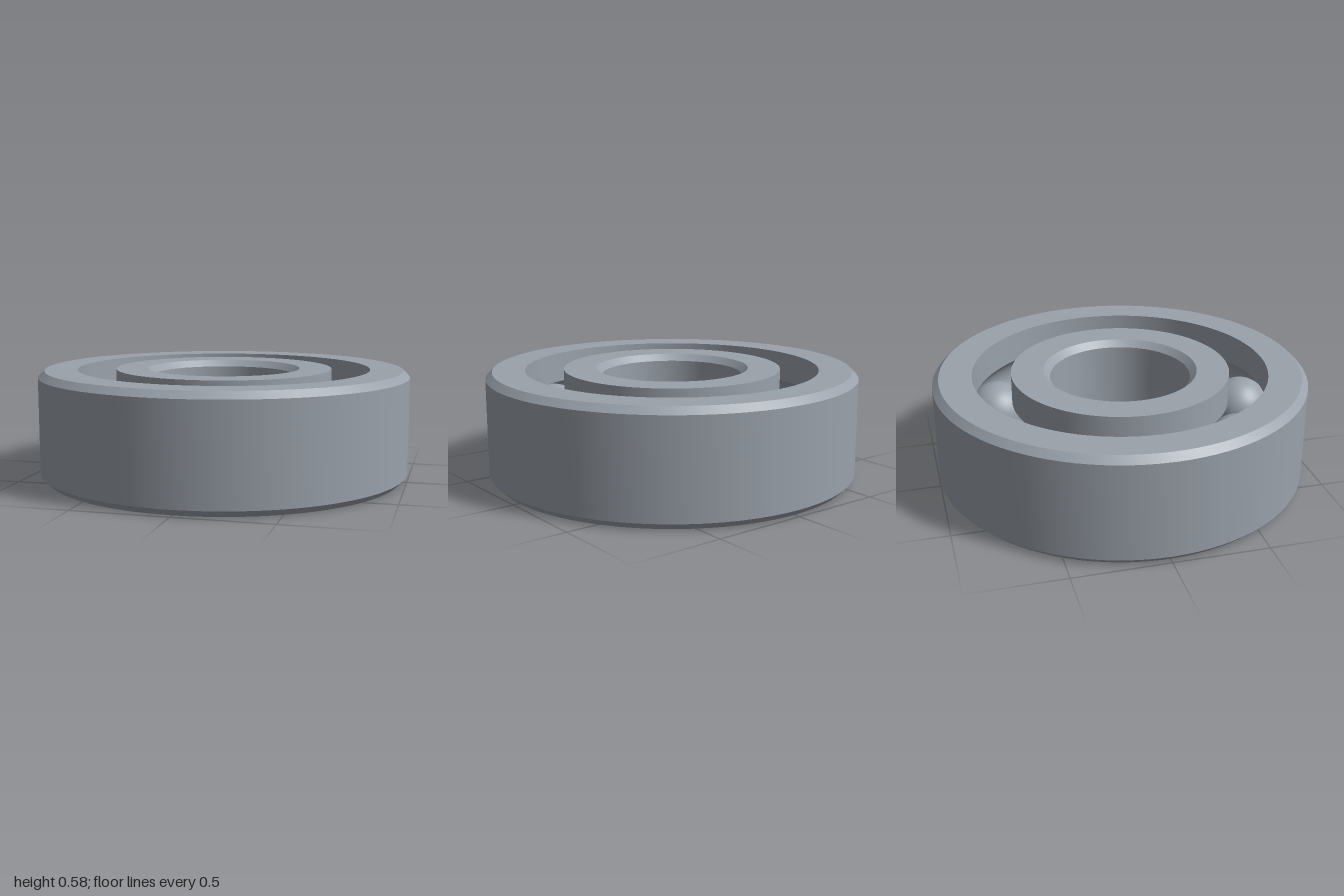
import * as THREE from 'three';
import { toCreasedNormals } from 'three/addons/utils/BufferGeometryUtils.js';

const HEIGHT = 0.585, MID = HEIGHT / 2, CHAMFER = 0.035;
const PITCH = 0.686, BALL_R = 0.161, GROOVE_R = 0.163, BALLS = 9;

// Points of the ball groove cut into a cylinder of radius r, listed upwards.
function groove(r) {
  const dx = r - PITCH, half = Math.asin(Math.sqrt(1 - (dx / GROOVE_R) ** 2));
  const points = [];
  for (let i = 0; i <= 16; i++) {
    const a = -half + (2 * half * i) / 16;
    points.push(new THREE.Vector2(PITCH + Math.sign(dx) * GROOVE_R * Math.cos(a), MID + GROOVE_R * Math.sin(a)));
  }
  return points;
}

// Spins a closed profile, listed counter-clockwise, into a ring.
function ring(name, profile, material) {
  const geometry = new THREE.LatheGeometry([...profile, profile[0].clone()], 96);
  const mesh = new THREE.Mesh(toCreasedNormals(geometry, 0.4), material);
  mesh.name = name;
  return mesh;
}

export function createModel() {
  const model = new THREE.Group();
  model.name = 'ballBearing';
  const steel = new THREE.MeshStandardMaterial({ color: 0x9aa1aa });
  steel.name = 'steel';
  const v = (r, y) => new THREE.Vector2(r, y);

  // Outer ring: chamfered outside, grooved inside
  const outerBore = 0.79;
  model.add(ring('outerRing', [
    v(outerBore, 0), v(1 - CHAMFER, 0), v(1, CHAMFER),
    v(1, HEIGHT - CHAMFER), v(1 - CHAMFER, HEIGHT), v(outerBore, HEIGHT),
    ...groove(outerBore).reverse(),
  ], steel));

  // Inner ring: grooved outside, chamfered bore
  const bore = 0.376, innerRim = 0.584;
  model.add(ring('innerRing', [
    v(bore + CHAMFER, 0), v(innerRim, 0), ...groove(innerRim), v(innerRim, HEIGHT),
    v(bore + CHAMFER, HEIGHT), v(bore, HEIGHT - CHAMFER), v(bore, CHAMFER),
  ], steel));

  // Balls, evenly spaced round the groove
  const balls = new THREE.Group();
  balls.name = 'balls';
  const ballGeometry = new THREE.SphereGeometry(BALL_R, 40, 28);
  for (let i = 0; i < BALLS; i++) {
    const angle = (i / BALLS) * Math.PI * 2 - 0.035;
    const ball = new THREE.Mesh(ballGeometry, steel);
    ball.name = 'ball' + (i + 1);
    ball.position.set(PITCH * Math.sin(angle), MID, PITCH * Math.cos(angle));
    balls.add(ball);
  }
  model.add(balls);
  return model;
}
